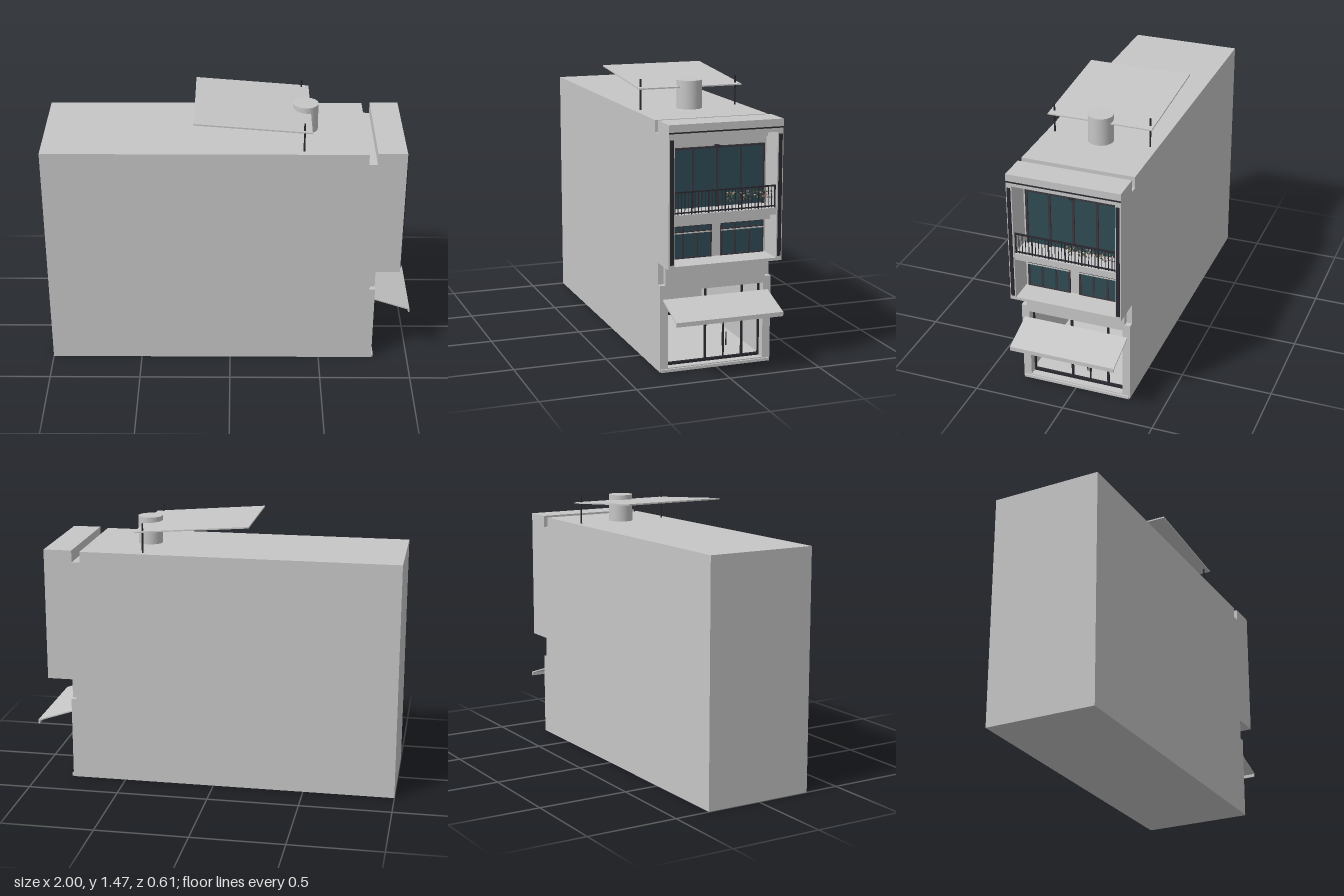
import * as THREE from 'three';

const mat = (name, color, side = THREE.FrontSide) => {
  const m = new THREE.MeshStandardMaterial({ color, side });
  m.name = name;
  return m;
};

export function createModel() {
  const wall = mat('pale grey', 0xc6c6c6);
  const dark = mat('dark metal', 0x2b2930);
  const frame = mat('window frame', 0x3b383e);
  const glass = mat('teal glass', 0x2f4b54);
  const leaf = mat('leaf green', 0x4c5a40);
  const petal = mat('flower pink', 0xc9a3a0);

  const model = new THREE.Group();
  const group = (name) => {
    const g = new THREE.Group();
    g.name = name;
    model.add(g);
    return g;
  };
  const add = (parent, name, geo, material) => {
    const m = new THREE.Mesh(geo, material);
    m.name = name;
    parent.add(m);
    return m;
  };
  // Box from its low and high corners
  const box = (parent, name, material, x0, x1, y0, y1, z0, z1) => {
    const g = new THREE.BoxGeometry(x1 - x0, y1 - y0, z1 - z0);
    g.translate((x0 + x1) / 2, (y0 + y1) / 2, (z0 + z1) / 2);
    return add(parent, name, g, material);
  };
  // Side profile in x and y, extruded along z
  const slab = (parent, name, material, pts, z0, z1) => {
    const s = new THREE.Shape(pts.map((p) => new THREE.Vector2(...p)));
    const g = new THREE.ExtrudeGeometry(s, { depth: z1 - z0, bevelEnabled: false });
    g.translate(0, 0, z0);
    return add(parent, name, g, material);
  };

  // Main block: shop room, two recessed floors and the roof channel
  const roof = [[0.93, 1.305], [0.775, 1.305], [0.775, 1.24], [0.73, 1.24], [0.73, 1.3], [-1, 1.3]];
  const building = group('building');
  slab(building, 'core', wall, [
    [-1, 0], [0.8, 0], [0.8, 0.02], [-0.1, 0.02], [-0.1, 0.425], [0.8, 0.425], [0.8, 0.575],
    [0.93, 0.575], [0.93, 0.59], [0.79, 0.59], [0.79, 0.815], [0.925, 0.815], [0.925, 0.85],
    [0.79, 0.85], [0.79, 1.24], [0.93, 1.24], ...roof,
  ], -0.275, 0.275);
  const side = [[-1, 0], [0.8, 0], [0.8, 0.46], [0.77, 0.46], [0.77, 0.575], [0.93, 0.575], ...roof];
  slab(building, 'leftWall', wall, side, -0.306, -0.275);
  slab(building, 'rightWall', wall, side, 0.275, 0.306);
  box(building, 'doorStep', wall, 0.8, 0.81, 0, 0.015, -0.3, 0.3);
  box(building, 'balconyBeam', wall, 0.79, 0.85, 0.775, 0.8, -0.275, 0.275);
  box(building, 'ceilingBeam', wall, 0.79, 0.81, 1.2, 1.24, -0.275, 0.275);
  box(building, 'corniceLine', dark, 0.93, 0.933, 1.26, 1.267, -0.306, 0.306);
  for (const s of [-1, 1]) {
    const z = s * 0.269;
    box(building, 'shopJamb', wall, 0.72, 0.8, 0.02, 0.425, z - 0.006, z + 0.006);
    box(building, 'facadeStrip', dark, 0.93, 0.936, 0.6, 1.23, s * 0.29 - 0.009, s * 0.29 + 0.009);
  }

  // Open glazed shop front
  const shop = group('shopFront');
  for (const [z, w] of [[0.259, 0.008], [0.04, 0.01], [-0.062, 0.005], [-0.165, 0.01], [-0.259, 0.008]]) {
    const top = w === 0.005 ? 0.3 : 0.425;
    box(shop, 'mullion', dark, 0.745, 0.757, 0.02, top, z - w / 2, z + w / 2);
  }
  box(shop, 'sill', dark, 0.743, 0.759, 0.02, 0.033, -0.263, 0.263);
  box(shop, 'transom', dark, 0.743, 0.759, 0.29, 0.302, -0.263, 0.263);
  box(shop, 'headRail', dark, 0.743, 0.759, 0.417, 0.425, -0.263, 0.263);
  for (const z of [-0.073, -0.051]) {
    box(shop, 'doorHandle', dark, 0.76, 0.766, 0.095, 0.168, z - 0.002, z + 0.002);
  }

  // Sloping awning with a drop edge
  slab(group('awning'), 'awningSheet', wall, [
    [0.8, 0.38], [0.993, 0.315], [0.993, 0.298], [1, 0.298], [1, 0.321], [0.8, 0.387],
  ], -0.29, 0.29);

  // Middle floor: two windows of three panes
  const middle = group('middleWindows');
  for (const s of [-1, 1]) {
    const c = s * 0.143;
    box(middle, 'windowPane', glass, 0.79, 0.794, 0.592, 0.765, c - 0.115, c + 0.115);
    for (const [y, h] of [[0.595, 0.006], [0.732, 0.007], [0.762, 0.007]]) {
      box(middle, 'windowRail', frame, 0.79, 0.8, y - h / 2, y + h / 2, c - 0.117, c + 0.117);
    }
    box(middle, 'windowLedge', wall, 0.79, 0.802, 0.722, 0.728, c - 0.117, c + 0.117);
    for (const d of [-0.113, -0.039, 0.039, 0.113]) {
      box(middle, 'windowPost', frame, 0.79, 0.8, 0.592, 0.765, c + d - 0.005, c + d + 0.005);
    }
  }

  // Upper floor: wide balcony window
  const upper = group('balconyWindow');
  box(upper, 'windowPane', glass, 0.79, 0.794, 0.852, 1.16, -0.26, 0.26);
  for (const z of [-0.256, -0.13, 0, 0.13, 0.256]) {
    box(upper, 'windowPost', frame, 0.79, 0.802, 0.85, 1.16, z - 0.006, z + 0.006);
  }
  box(upper, 'windowHead', frame, 0.79, 0.802, 1.153, 1.163, -0.262, 0.262);
  box(upper, 'wallLamp', dark, 0.79, 0.83, 1.163, 1.17, -0.01, 0.01);
  for (const z of [-0.18, 0, 0.18]) {
    const lamp = add(upper, 'ceilingLamp', new THREE.CylinderGeometry(0.008, 0.008, 0.005, 12), dark);
    lamp.position.set(0.87, 1.2375, z);
  }

  // Balcony railing
  const railing = group('balconyRailing');
  box(railing, 'topRail', dark, 0.911, 0.921, 0.96, 0.967, -0.274, 0.274);
  box(railing, 'bottomRail', dark, 0.912, 0.92, 0.856, 0.862, -0.274, 0.274);
  for (let i = 0; i <= 30; i++) {
    const z = -0.27 + i * 0.018;
    const w = i % 5 ? 0.0015 : 0.003;
    box(railing, 'baluster', dark, 0.916 - w, 0.916 + w, 0.85, 0.962, z - w, z + w);
  }

  // Flowers along one half of the railing
  const flowers = group('balconyFlowers');
  let seed = 7;
  const rnd = () => (seed = (seed * 16807) % 2147483647) / 2147483647;
  for (let i = 0; i < 90; i++) {
    const bloom = i % 3 === 0;
    const m = add(flowers, bloom ? 'blossom' : 'leaf',
      new THREE.TetrahedronGeometry(0.005 + rnd() * 0.003), bloom ? petal : leaf);
    m.position.set(0.9 + rnd() * 0.02, 0.9 + rnd() * 0.045, -0.26 + rnd() * 0.26);
    m.rotation.set(rnd() * 6, rnd() * 6, 0);
  }

  // Roof: water tank and tilted canopy on two posts
  const top = group('roofTop');
  add(top, 'waterTank', new THREE.CylinderGeometry(0.067, 0.067, 0.15, 40), wall)
    .position.set(0.405, 1.375, 0);
  slab(top, 'canopy', wall, [[-0.188, 1.459], [0.43, 1.41], [0.43, 1.417], [-0.188, 1.467]], -0.286, 0.286);
  for (const z of [-0.265, 0.265]) {
    add(top, 'canopyPost', new THREE.CylinderGeometry(0.005, 0.005, 0.16, 10), dark)
      .position.set(0.39, 1.38, z);
  }
  return model;
}
